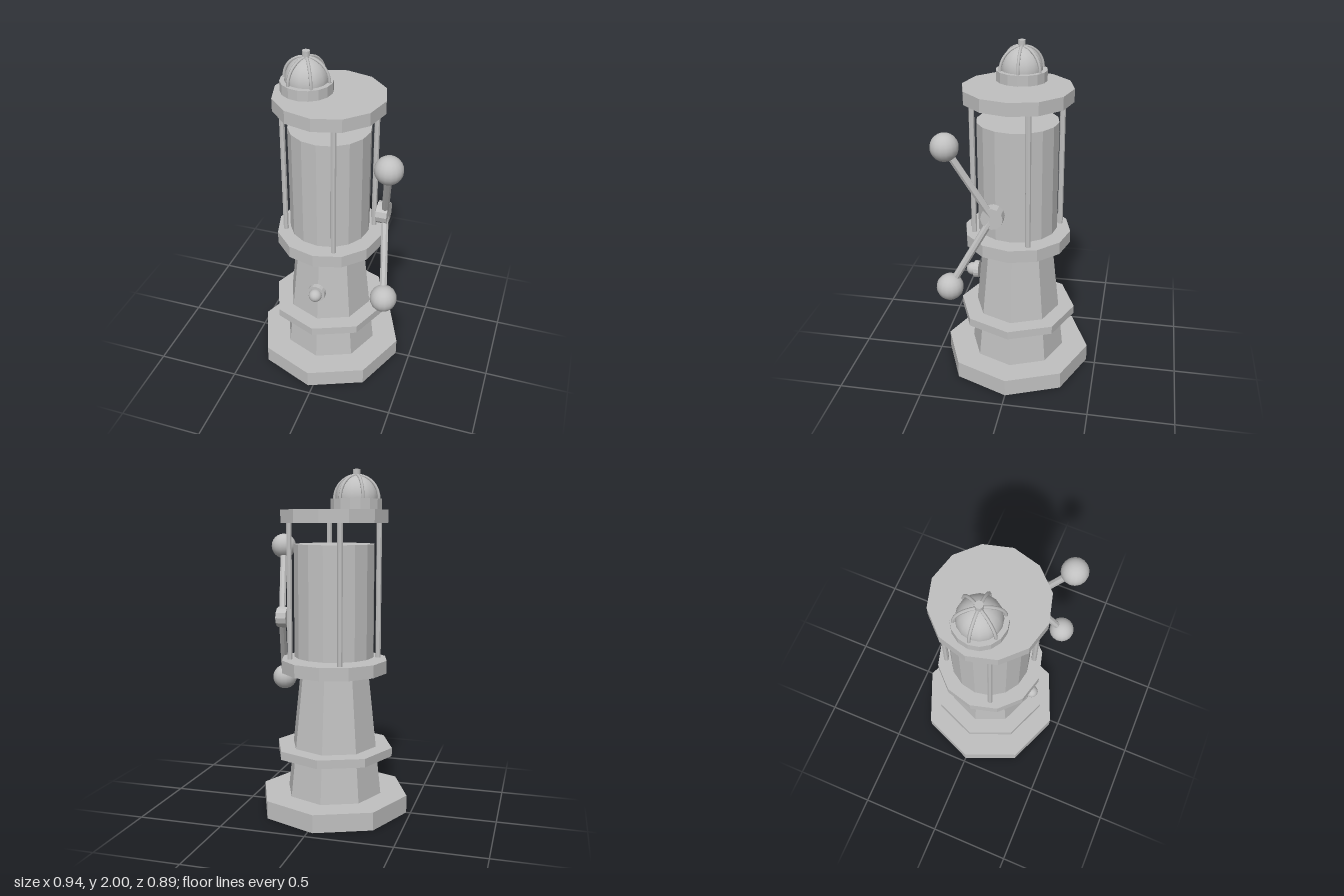
import * as THREE from 'three';

const AXIS = -0.03; // x of the tower's centre line

export function createModel() {
  const model = new THREE.Group();
  model.name = 'beaconTower';
  const grey = new THREE.MeshStandardMaterial({ color: 0xc0c0c0 });
  grey.name = 'grey';

  const add = (name, geometry, x, y, z) => {
    const mesh = new THREE.Mesh(geometry, grey);
    mesh.name = name;
    mesh.position.set(x, y, z);
    model.add(mesh);
    return mesh;
  };

  // Faceted prism or frustum with flat normals
  const prism = (rTop, rBottom, height, sides) => {
    const g = new THREE.CylinderGeometry(rTop, rBottom, height, sides).toNonIndexed();
    g.computeVertexNormals();
    return g;
  };
  const tier = (name, y0, y1, rBottom, rTop, sides, x = AXIS) =>
    add(name, prism(rTop, rBottom, y1 - y0, sides), x, (y0 + y1) / 2, 0);

  // Octagonal foot
  tier('base', 0, 0.105, 0.445, 0.445, 8);
  tier('taperedBody', 0.105, 0.835, 0.287, 0.208, 8);
  tier('bodyRing', 0.34, 0.39, 0.353, 0.353, 8);

  // Lantern section
  tier('lowerDisc', 0.835, 0.91, 0.315, 0.315, 12);
  tier('drum', 0.925, 1.58, 0.235, 0.235, 16);
  tier('upperDisc', 1.7, 1.775, 0.315, 0.315, 12);
  for (let i = 0; i < 4; i++) {
    const a = Math.PI / 8 + (i * Math.PI) / 2;
    add('supportRod', prism(0.016, 0.016, 0.8, 8),
      AXIS + 0.262 * Math.sin(a), 1.305, 0.262 * Math.cos(a));
  }

  // Caged lamp, set off centre on the roof
  const lampX = -0.16;
  tier('lampCollar', 1.775, 1.835, 0.147, 0.147, 16, lampX);
  add('lampDome', new THREE.SphereGeometry(0.12, 16, 8, 0, Math.PI * 2, 0, Math.PI / 2), lampX, 1.835, 0)
    .scale.y = 1.08;
  for (let i = 0; i < 3; i++) {
    add('cageHoop', new THREE.TorusGeometry(0.13, 0.009, 6, 20, Math.PI), lampX, 1.835, 0)
      .rotation.y = (i * Math.PI) / 3;
  }
  tier('lampFinial', 1.955, 2, 0.021, 0.021, 12, lampX);

  // Button on the front of the body
  add('buttonPlate', prism(0.053, 0.053, 0.03, 16), AXIS, 0.595, 0.255).rotation.x = Math.PI / 2;
  add('buttonKnob', new THREE.SphereGeometry(0.039, 16, 12), AXIS, 0.595, 0.283);

  // Two-armed crank on the left side
  const hub = new THREE.Vector3(0.322, 1.132, 0.08);
  add('crankHub', prism(0.063, 0.063, 0.064, 12), 0.313, hub.y, hub.z).rotation.z = Math.PI / 2;
  for (const y of [1.553, 0.712]) {
    const ball = new THREE.Vector3(0.39, y, 0.315);
    const direction = ball.clone().sub(hub);
    const middle = hub.clone().lerp(ball, 0.5);
    add('crankArm', prism(0.021, 0.021, direction.length(), 8), middle.x, middle.y, middle.z)
      .quaternion.setFromUnitVectors(new THREE.Vector3(0, 1, 0), direction.normalize());
    add('crankBall', new THREE.SphereGeometry(0.077, 16, 12), ball.x, ball.y, ball.z);
  }

  return model;
}
